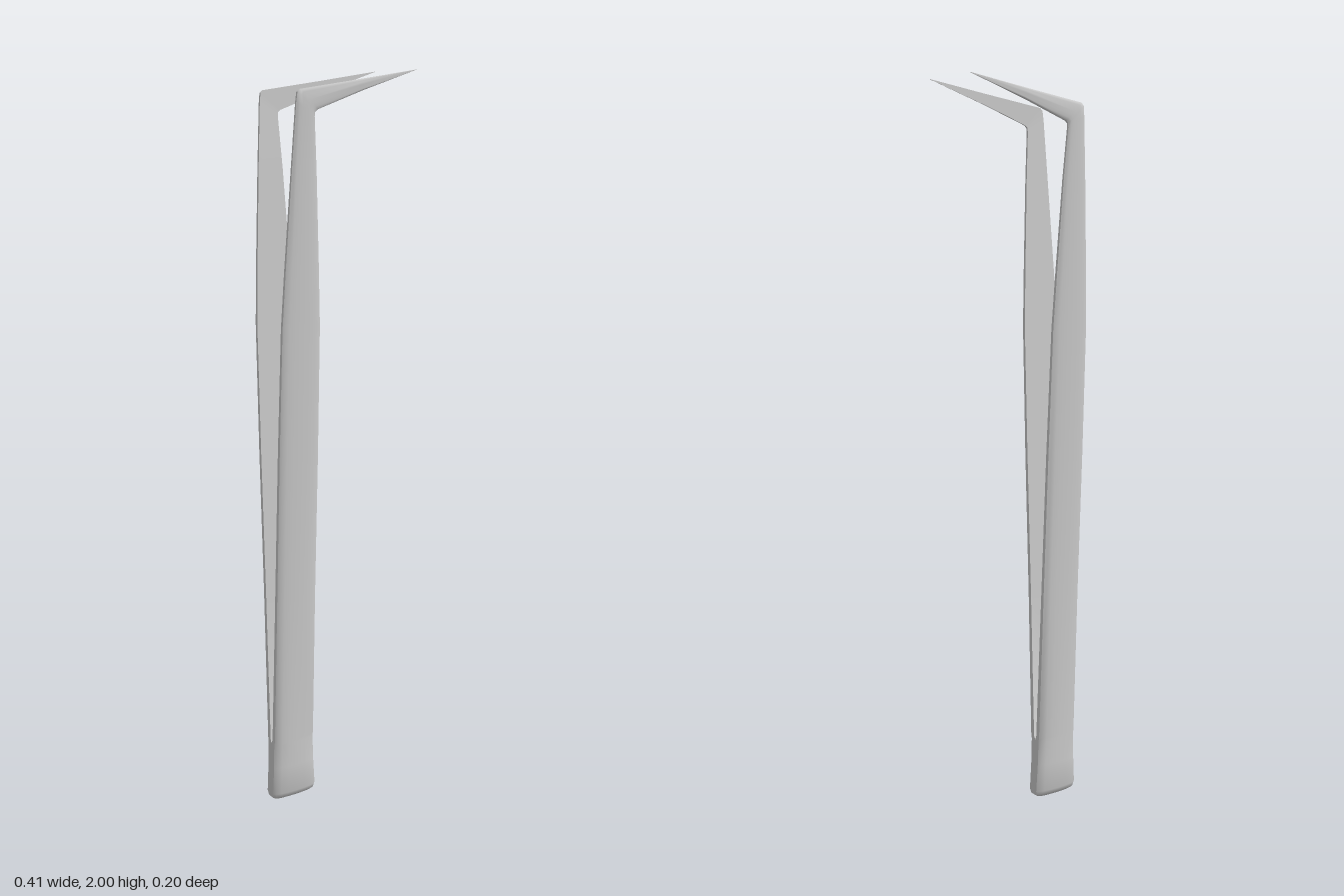
import * as THREE from 'three';
import { toCreasedNormals } from 'three/addons/utils/BufferGeometryUtils.js';

// Stations along one arm: edge A (x, y), edge B (x, y), inner z, outer z
const STATIONS = [
  [-0.200, 0.000, -0.085, 0.000, 0.000, 0.016],
  [-0.209, 0.006, -0.076, 0.006, 0.000, 0.024],
  [-0.212, 0.020, -0.073, 0.020, 0.000, 0.030],
  [-0.208, 0.100, -0.078, 0.100, 0.000, 0.031],
  [-0.207, 0.170, -0.080, 0.170, 0.000, 0.032],
  [-0.206, 0.180, -0.080, 0.180, 0.005, 0.032],
  [-0.204, 0.600, -0.082, 0.600, 0.024, 0.046],
  [-0.203, 1.000, -0.083, 1.000, 0.043, 0.063],
  [-0.200, 1.350, -0.086, 1.350, 0.060, 0.077],
  [-0.193, 1.500, -0.093, 1.500, 0.067, 0.083],
  [-0.179, 1.750, -0.106, 1.750, 0.079, 0.092],
  [-0.169, 1.915, -0.115, 1.880, 0.086, 0.097],
  [-0.166, 1.940, -0.114, 1.892, 0.087, 0.098],
  [-0.158, 1.947, -0.107, 1.898, 0.087, 0.098],
  [0.020, 1.973, 0.030, 1.946, 0.090, 0.096],
  [0.197, 2.000, 0.197, 1.999, 0.0925, 0.0935],
];

// Cross-section: t runs across the width, d from the flat inner to the crowned outer face
const SECTION = [
  [0, 0], [1, 0], [1, 0.5], [0.95, 0.72], [0.85, 0.87], [0.7, 0.96],
  [0.5, 1], [0.3, 0.96], [0.15, 0.87], [0.05, 0.72], [0, 0.5],
];

function armGeometry(side) {
  const pos = [], index = [], n = SECTION.length;
  for (const [ax, ay, bx, by, zi, zo] of STATIONS)
    for (const [t, d] of SECTION)
      pos.push(ax + (bx - ax) * t, ay + (by - ay) * t, side * (zi + (zo - zi) * d));
  // Reverse the corner order on the mirrored arm
  const tri = (a, b, c) => (side > 0 ? index.push(a, c, b) : index.push(a, b, c));
  for (let i = 0; i < STATIONS.length - 1; i++)
    for (let j = 0; j < n; j++) {
      const a = i * n + j, b = i * n + (j + 1) % n;
      tri(a, b, b + n);
      tri(a, b + n, a + n);
    }
  // End caps
  const last = (STATIONS.length - 1) * n;
  for (let j = 1; j < n - 1; j++) {
    tri(0, j + 1, j);
    tri(last, last + j, last + j + 1);
  }
  const geometry = new THREE.BufferGeometry();
  geometry.setAttribute('position', new THREE.Float32BufferAttribute(pos, 3));
  geometry.setIndex(index);
  return toCreasedNormals(geometry, 0.7);
}

export function createModel() {
  const model = new THREE.Group();
  model.name = 'tweezers';
  const material = new THREE.MeshStandardMaterial({ color: 0xcccccc, side: THREE.DoubleSide });
  // Two mirrored arms that share a solid joined base
  for (const side of [1, -1]) {
    const arm = new THREE.Mesh(armGeometry(side), material);
    arm.name = side > 0 ? 'frontArm' : 'backArm';
    model.add(arm);
  }
  return model;
}
